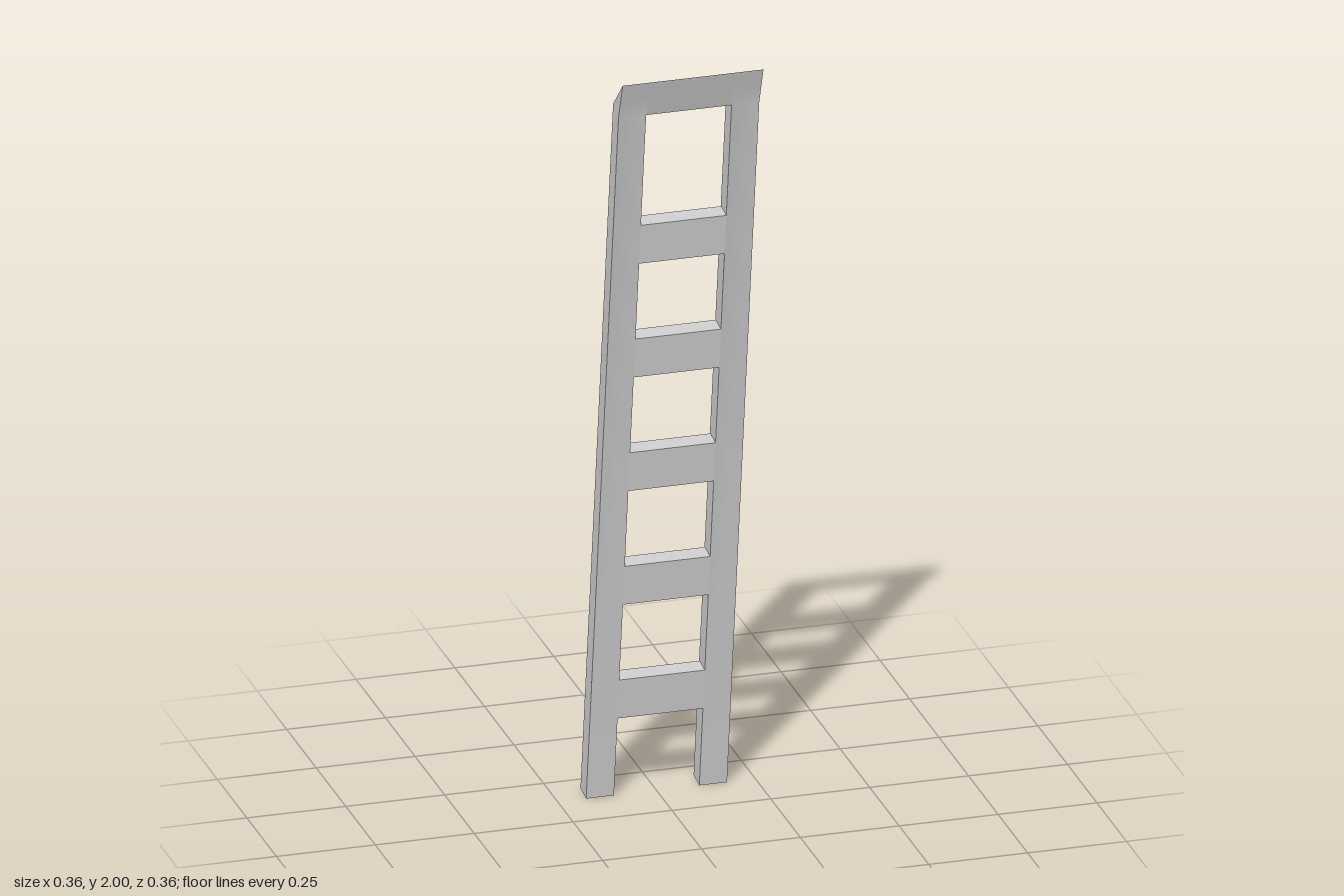
import * as THREE from 'three';
import { toCreasedNormals } from 'three/addons/utils/BufferGeometryUtils.js';

const OUTER = 0.178, INNER = 0.108;
const CREASE = 0.72;

// Front and back planes of the leaning ladder: z at a given height
const frontZ = (y) => -0.13 + 0.1437 * y;
const backZ = (y) => -0.178 + 0.1445 * (y - 0.008);

// Flared lip at the top, as [z, y] points from front to back
const LIP = [[0.143, 1.9], [0.163, 1.955], [0.179, 2.0], [0.098, 1.92]];

// Extrude a side profile of [z, y] points along x
function sideExtrude(points, x0, x1) {
  const shape = new THREE.Shape(points.map(([z, y]) => new THREE.Vector2(-z, y)));
  const geo = new THREE.ExtrudeGeometry(shape, { depth: x1 - x0, bevelEnabled: false });
  geo.rotateY(Math.PI / 2);
  geo.translate(x0, 0, 0);
  return toCreasedNormals(geo, CREASE);
}

// Top crosspiece: straight in front, with a shallow arch cut into its back edge
function headGeometry(steps = 16) {
  const pos = [], index = [];
  for (let i = 0; i <= steps; i++) {
    const t = -1 + (2 * i) / steps;
    const y = 1.885 + 0.033 * (1 - t * t);
    for (const [pz, py] of [...LIP, [backZ(y), y]]) pos.push(t * INNER, py, pz);
  }
  for (let i = 0; i < steps; i++) {
    for (let j = 0; j < 5; j++) {
      const k = (j + 1) % 5;
      const a = i * 5 + j, b = a + 5, c = i * 5 + k, d = c + 5;
      index.push(a, b, c, b, d, c);
    }
  }
  const geo = new THREE.BufferGeometry();
  geo.setAttribute('position', new THREE.Float32BufferAttribute(pos, 3));
  geo.setIndex(index);
  return toCreasedNormals(geo, CREASE);
}

export function createModel() {
  const ladder = new THREE.Group();
  ladder.name = 'ladder';
  const material = new THREE.MeshStandardMaterial({ color: 0xcccccc });
  const add = (name, geo) => {
    const mesh = new THREE.Mesh(geo, material);
    mesh.name = name;
    ladder.add(mesh);
  };

  // Side rails, flaring forward at the top
  const railProfile = [[frontZ(0), 0], ...LIP, [backZ(0.008), 0.008]];
  add('leftRail', sideExtrude(railProfile, INNER, OUTER));
  add('rightRail', sideExtrude(railProfile, -OUTER, -INNER));

  // Flat rungs, flush in front and slightly recessed behind
  const inset = 0.004, rise = 0.007;
  for (let i = 0; i < 5; i++) {
    const y0 = 0.215 + i * 0.3175, y1 = y0 + 0.107;
    add(`rung${i + 1}`, sideExtrude([
      [frontZ(y0), y0],
      [frontZ(y1), y1],
      [backZ(y1 + rise) + inset, y1 + rise],
      [backZ(y0 + rise) + inset, y0 + rise],
    ], -INNER, INNER));
  }

  add('topCrosspiece', headGeometry());
  return ladder;
}
